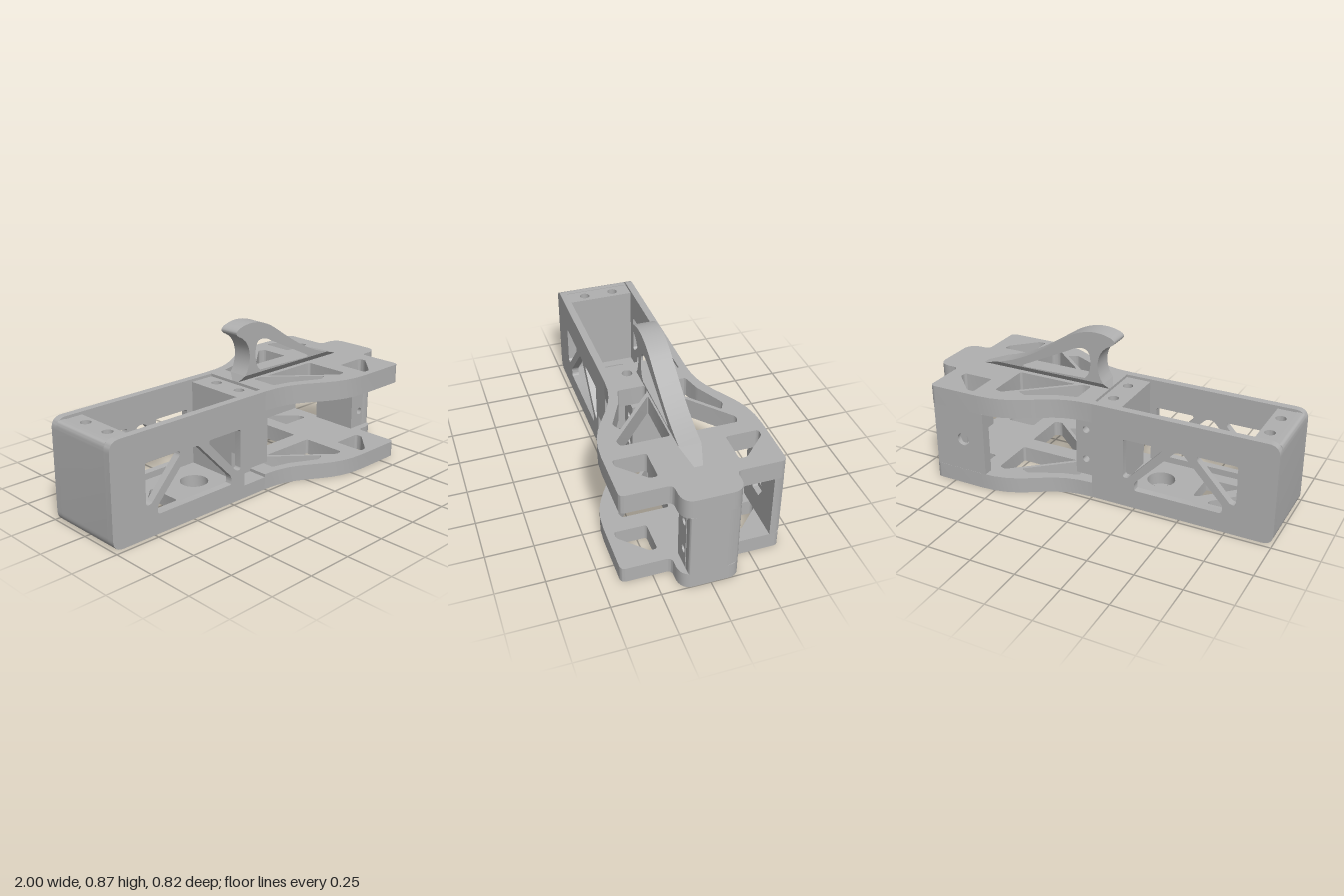
import * as THREE from 'three';
import { toCreasedNormals } from 'three/addons/utils/BufferGeometryUtils.js';
import { ConvexGeometry } from 'three/addons/geometries/ConvexGeometry.js';

const grey = new THREE.MeshStandardMaterial({ color: 0xb0b0b0 });
grey.name = 'printed grey';

// Closed outline with rounded corners; a point is [x, y, radius?]
function outline(points, r = 0, path = new THREE.Shape()) {
  const n = points.length;
  points.forEach((p, i) => {
    const c = new THREE.Vector2(p[0], p[1]);
    const toward = (q) => {
      const d = new THREE.Vector2(q[0], q[1]).sub(c);
      return c.clone().add(d.setLength(Math.min(p[2] ?? r, d.length() * 0.45)));
    };
    const a = toward(points[(i + n - 1) % n]);
    const b = toward(points[(i + 1) % n]);
    if (i === 0) path.moveTo(a.x, a.y); else path.lineTo(a.x, a.y);
    if (a.distanceTo(b) > 1e-5) path.quadraticCurveTo(c.x, c.y, b.x, b.y);
  });
  path.closePath();
  return path;
}
const window_ = (points, r = 0.015) => outline(points, r, new THREE.Path());
const circle = (x, y, r) => new THREE.Path().absarc(x, y, r, 0, Math.PI * 2, true);
const rect = (x0, x1, y0, y1) => [[x0, y0], [x1, y0], [x1, y1], [x0, y1]];
const flip = (points) => points.map(([x, y]) => [x, -y]);

function extrude(shape, holes, depth) {
  shape.holes.push(...holes);
  return new THREE.ExtrudeGeometry(shape, { depth, bevelEnabled: false, curveSegments: 10 });
}

export function createModel() {
  const model = new THREE.Group();
  model.name = 'frame';
  const add = (name, geometry) => {
    const mesh = new THREE.Mesh(geometry, grey);
    mesh.name = name;
    model.add(mesh);
    return mesh;
  };
  // Side profile (x, y) extruded from z0 to z1
  const side = (name, shape, z0, z1, holes = []) =>
    add(name, toCreasedNormals(extrude(shape, holes, z1 - z0).translate(0, 0, z0), 0.6));
  // Plan profile (x, -z) extruded from y0 to y1
  const plan = (name, shape, y0, y1, holes = []) =>
    add(name, toCreasedNormals(extrude(shape, holes, y1 - y0).rotateX(-Math.PI / 2).translate(0, y0, 0), 0.6));
  const box = (name, x0, x1, y0, y1, z0, z1) =>
    add(name, new THREE.BoxGeometry(x1 - x0, y1 - y0, z1 - z0)
      .translate((x0 + x1) / 2, (y0 + y1) / 2, (z0 + z1) / 2));

  // Tray walls with truss windows; the front one has a notch
  const corner = [[-0.8, 0.39], [-0.585, 0.39], [-0.585, 0.37], [-0.77, 0.17], [-0.8, 0.17]];
  const truss = () => [
    window_(corner),
    window_(corner.map(([x, y]) => [-0.98 - x, y])),
    window_([[-0.73, 0.105], [-0.245, 0.105], [-0.245, 0.15], [-0.47, 0.385], [-0.51, 0.385], [-0.73, 0.15]]),
  ];
  side('trayFrontWall', outline([[-1, 0, 0.06], [0, 0], [0, 0.07], [-0.15, 0.07], [-0.15, 0.22],
    [0, 0.22], [0, 0.55], [-1, 0.55, 0.06]]), 0.185, 0.225, truss());
  side('trayBackWall', outline([[-1, 0, 0.06], [0, 0], [0, 0.55], [-1, 0.55, 0.06]]), -0.225, -0.185, truss());

  // Tray floor with two windows and a countersunk hole
  const floorWindow = [[-0.8, 0.115], [-0.61, 0.115], [-0.61, 0.09], [-0.78, -0.075], [-0.8, -0.075]];
  plan('trayFloor', outline(rect(-0.86, 0, -0.185, 0.185)), 0, 0.07, [
    window_(floorWindow),
    window_(floorWindow.map(([x, y]) => [-1.315 - x, -y])),
    circle(-0.3, 0, 0.075),
  ]);
  const sink = [[0.075, 0], [0.036, 0], [0.036, 0.04], [0.075, 0.07]].map((p) => new THREE.Vector2(...p));
  add('countersunkHole', toCreasedNormals(new THREE.LatheGeometry(sink, 32), 0.5)).position.x = -0.3;

  // Tray end blocks and their screw pads
  side('trayEndBlock', outline([[-1, 0, 0.06], [-0.85, 0], [-0.85, 0.42], [-0.95, 0.42], [-0.95, 0.538],
    [-1, 0.538, 0.045]]), -0.185, 0.185);
  box('middleBlockCore', -0.14, 0, 0.07, 0.22, -0.185, 0.115);
  box('middleBlock', -0.14, 0, 0.22, 0.42, -0.185, 0.185);
  for (const [x0, x1, hx] of [[-0.95, -0.85, -0.9], [-0.14, 0, -0.055]]) {
    plan('screwPad', outline(rect(x0, x1, -0.185, 0.185)), 0.42, 0.535,
      [circle(hx, 0.085, 0.028), circle(hx, -0.085, 0.028)]);
  }

  // Flared top and bottom plates
  const plate = () => {
    const s = new THREE.Shape();
    s.moveTo(0, -0.225);
    s.bezierCurveTo(0.28, -0.225, 0.3, -0.41, 0.58, -0.41);
    s.lineTo(0.84, -0.41);
    s.quadraticCurveTo(0.87, -0.41, 0.87, -0.38);
    s.lineTo(0.87, -0.185);
    s.quadraticCurveTo(0.87, -0.155, 0.9, -0.155);
    s.lineTo(0.93, -0.155);
    s.quadraticCurveTo(1, -0.15, 1, -0.085);
    s.lineTo(1, 0.085);
    s.quadraticCurveTo(1, 0.15, 0.93, 0.155);
    s.lineTo(0.9, 0.155);
    s.quadraticCurveTo(0.87, 0.155, 0.87, 0.185);
    s.lineTo(0.87, 0.38);
    s.quadraticCurveTo(0.87, 0.41, 0.84, 0.41);
    s.lineTo(0.58, 0.41);
    s.bezierCurveTo(0.3, 0.41, 0.28, 0.225, 0, 0.225);
    s.closePath();
    return s;
  };
  const plateWindows = [
    [[0.62, 0.37], [0.66, 0.37], [0.79, 0.24], [0.79, 0.2], [0.62, 0.2]],
    [[0.19, 0.05], [0.49, 0.31], [0.53, 0.3], [0.53, 0.05]],
    [[0.1, 0.185], [0.2, 0.21], [0.36, 0.29], [0.41, 0.265], [0.15, 0.04], [0.1, 0.04]],
  ];
  for (const [name, y0, y1] of [['bottomPlate', 0, 0.087], ['topPlate', 0.445, 0.55]]) {
    plan(name, plate(), y0, y1, plateWindows.flatMap((w) => [window_(w), window_(flip(w))]));
  }

  // Mounting posts between the plates
  for (const [name, x0, x1, hx] of [['innerPost', 0, 0.13, 0.07], ['outerPost', 0.845, 0.945, 0.915]]) {
    side(name, outline(rect(x0, x1, 0.087, 0.445)), -0.157, 0.115,
      [circle(hx, 0.18, 0.02), circle(hx, 0.355, 0.02)]);
  }
  plan('outerPostNose', outline([[0.945, -0.115], [1, -0.115], [1, 0.085], [0.985, 0.137],
    [0.945, 0.157]], 0.012), 0.087, 0.445);

  // Back wall with a bolt hole and a hexagonal nut pocket
  const hex = Array.from({ length: 6 }, (_, i) =>
    [0.68 + 0.07 * Math.cos(i * Math.PI / 3), 0.27 + 0.07 * Math.sin(i * Math.PI / 3)]);
  const wall = () => outline(rect(0.55, 0.855, 0.087, 0.445));
  side('backWall', wall(), -0.409, -0.385, [circle(0.68, 0.27, 0.036)]);
  side('nutPocket', wall(), -0.385, -0.355, [window_(hex, 0)]);
  plan('backWallCorner', outline([[0.855, 0.355], [0.87, 0.355], [0.87, 0.385], [0.855, 0.407]]), 0.087, 0.445);

  // Hooked fin with an open centre
  const fin = new THREE.Shape();
  fin.moveTo(0.02, 0.587);
  fin.bezierCurveTo(0.075, 0.66, 0.06, 0.77, -0.02, 0.805);
  fin.bezierCurveTo(-0.055, 0.82, -0.05, 0.84, -0.02, 0.852);
  fin.bezierCurveTo(0.06, 0.882, 0.15, 0.865, 0.23, 0.815);
  fin.bezierCurveTo(0.38, 0.715, 0.5, 0.63, 0.67, 0.587);
  fin.closePath();
  const eye = new THREE.Path();
  eye.moveTo(0.13, 0.6);
  eye.bezierCurveTo(0.085, 0.63, 0.085, 0.74, 0.115, 0.76);
  eye.bezierCurveTo(0.14, 0.775, 0.18, 0.765, 0.22, 0.74);
  eye.lineTo(0.5, 0.605);
  eye.quadraticCurveTo(0.52, 0.592, 0.48, 0.592);
  eye.closePath();
  side('fin', fin, -0.056, 0.056, [eye]);
  const foot = [];
  for (const s of [-1, 1]) {
    for (const [x, y, z] of [[0.02, 0.587, 0.056], [0.67, 0.587, 0.056], [0, 0.548, 0.02], [0.79, 0.548, 0.02]]) {
      foot.push(new THREE.Vector3(x, y, z * s));
    }
  }
  add('finFoot', new ConvexGeometry(foot));
  return model;
}
